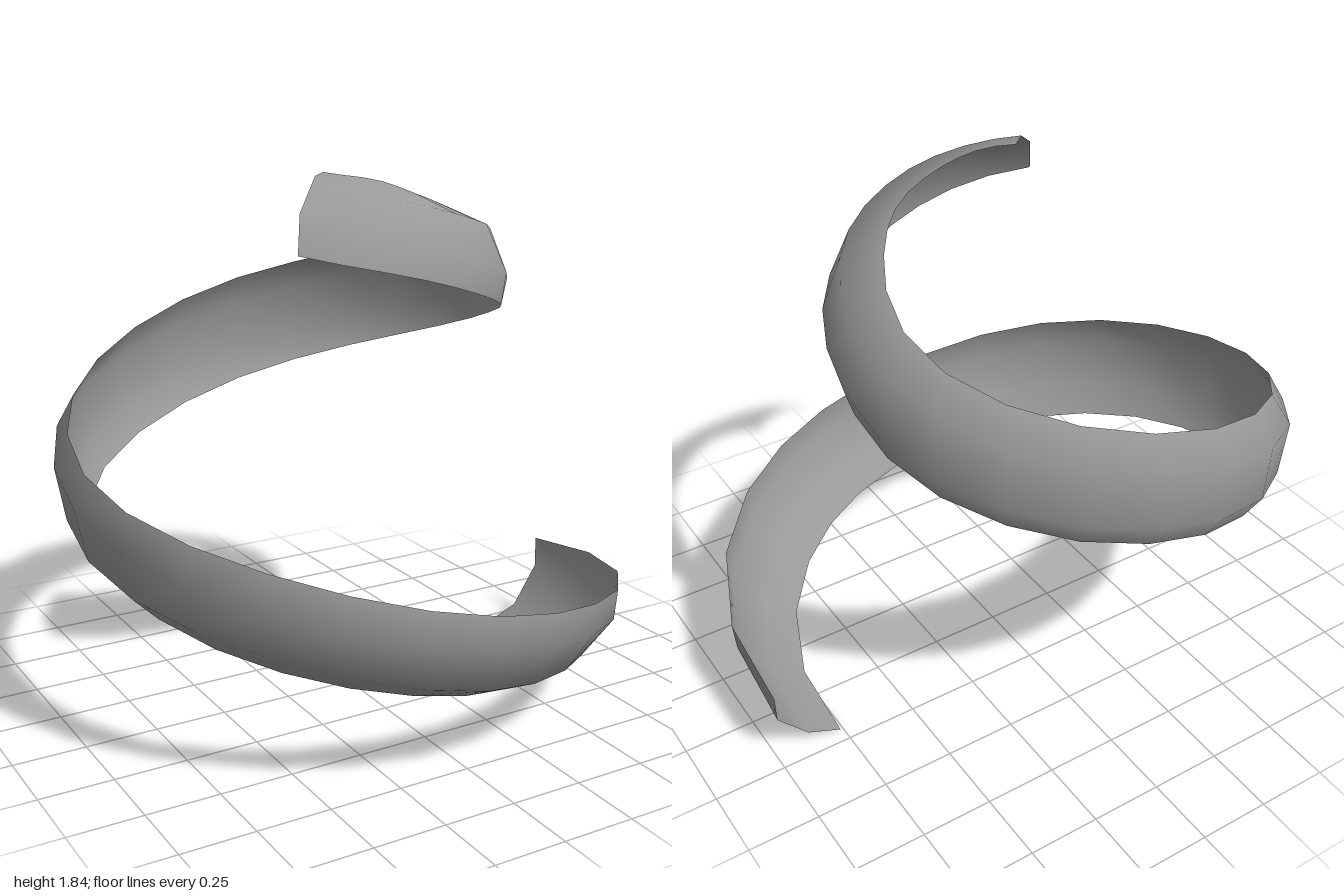
import * as THREE from 'three';

// Sections along the spiral: angle in degrees (from +x towards +z),
// then [radius, height] of four points from the bottom edge to the top edge.
const SECTIONS = [
  [-13, [0.785, 0.00], [0.90, 0.05], [1.015, 0.19], [1.025, 0.30]],
  [45, [0.72, 0.15], [0.83, 0.20], [0.93, 0.34], [0.94, 0.45]],
  [90, [0.74, 0.25], [0.85, 0.31], [0.925, 0.47], [0.91, 0.58]],
  [135, [0.80, 0.39], [0.90, 0.48], [0.965, 0.64], [0.93, 0.76]],
  [180, [0.87, 0.55], [0.96, 0.64], [1.00, 0.82], [0.96, 0.93]],
  [225, [0.92, 0.74], [0.98, 0.83], [1.00, 1.03], [0.93, 1.14]],
  [270, [0.87, 0.95], [0.925, 1.04], [0.925, 1.24], [0.86, 1.35]],
  [315, [0.75, 1.13], [0.79, 1.22], [0.765, 1.41], [0.66, 1.51]],
  [360, [0.58, 1.30], [0.61, 1.40], [0.55, 1.58], [0.395, 1.66]],
  [405, [0.49, 1.42], [0.495, 1.53], [0.42, 1.68], [0.275, 1.74]],
  [450, [0.468, 1.53], [0.445, 1.64], [0.35, 1.76], [0.20, 1.81]],
  [497, [0.53, 1.62], [0.474, 1.74], [0.30, 1.835], [0.215, 1.84]],
];
// Angle offsets of the four points at the slanted lower and upper ends
const END_SKEW = { 0: [-1.6, 0.5, 0.8, 0.2], [SECTIONS.length - 1]: [0, 1.5, 4, 6] };
const ROWS = 4;
const STEPS = (SECTIONS.length - 1) * 3;

function ribbonGeometry() {
  // One smooth rail per section point, in (angle, radius, height) space
  const rails = Array.from({ length: ROWS }, (_, row) => new THREE.CatmullRomCurve3(
    SECTIONS.map(([angle, ...pts], k) => {
      const skew = END_SKEW[k]?.[row] ?? 0;
      return new THREE.Vector3(THREE.MathUtils.degToRad(angle + skew), ...pts[row]);
    }), false, 'catmullrom', 0.5));

  const positions = [];
  const index = [];
  for (let i = 0; i <= STEPS; i++) {
    for (let j = 0; j < ROWS; j++) {
      const { x: angle, y: radius, z: height } = rails[j].getPoint(i / STEPS);
      positions.push(radius * Math.cos(angle), height, radius * Math.sin(angle));
      if (i < STEPS && j < ROWS - 1) {
        const a = i * ROWS + j;
        const b = a + ROWS;
        index.push(a, a + 1, b, b, a + 1, b + 1);
      }
    }
  }
  const geometry = new THREE.BufferGeometry();
  geometry.setAttribute('position', new THREE.Float32BufferAttribute(positions, 3));
  geometry.setIndex(index);
  geometry.computeVertexNormals();
  return geometry;
}

export function createModel() {
  const group = new THREE.Group();
  group.name = 'spiralPeel';
  const material = new THREE.MeshStandardMaterial({ color: 0x999999, side: THREE.DoubleSide });

  // Thin curved ribbon winding upwards
  const ribbon = new THREE.Mesh(ribbonGeometry(), material);
  ribbon.name = 'ribbon';
  group.add(ribbon);
  return group;
}
